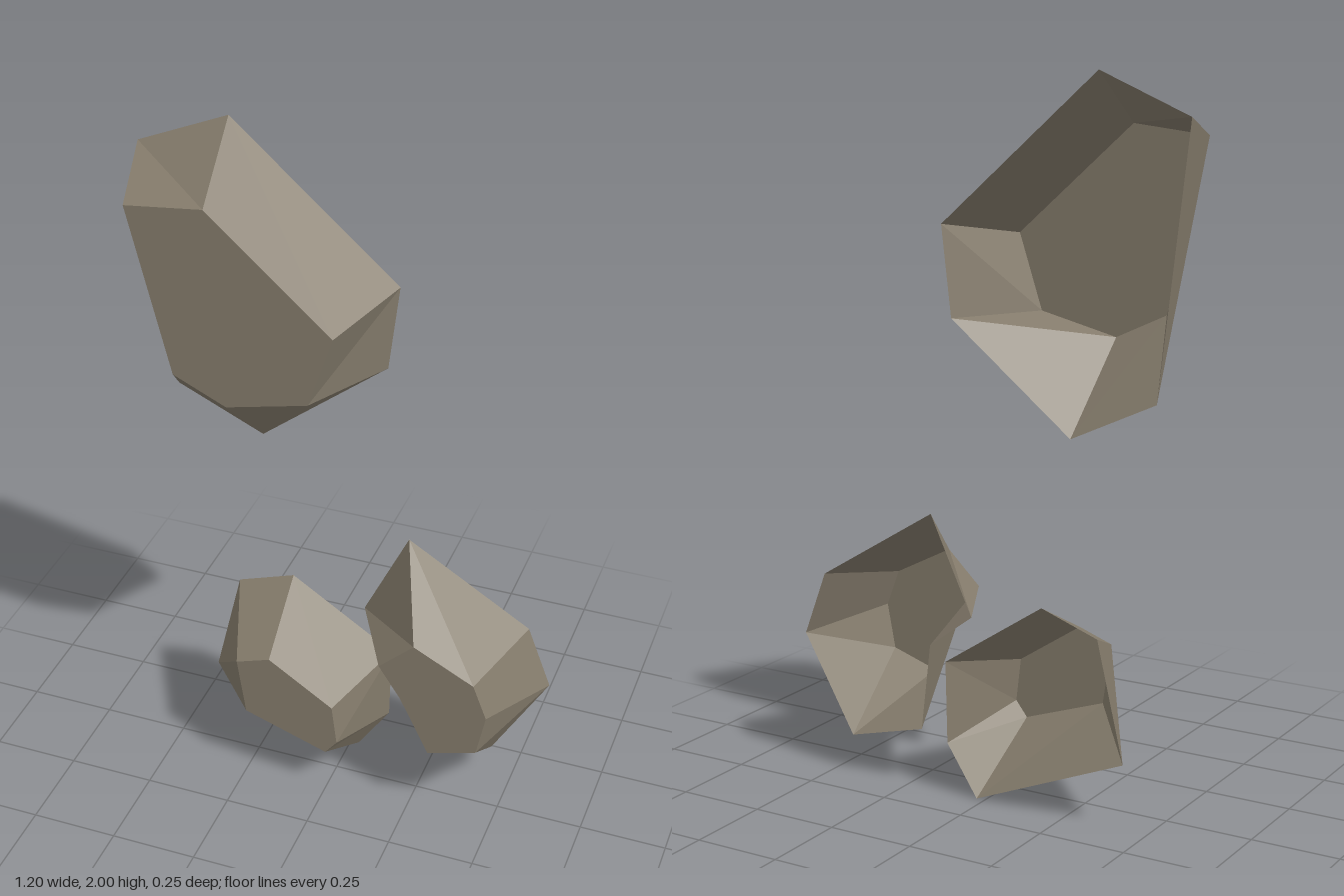
import * as THREE from 'three';

const BACK = -0.125, FRONT = 0.125;
const stone = new THREE.MeshStandardMaterial({
  color: 0x857c6c, roughness: 1, flatShading: true, side: THREE.DoubleSide,
});

// Outlines run clockwise seen from the front: wide rim at the back, small facet in front.
const stones = [
  {
    name: 'upperStone',
    rim: [[-0.6, 1.89], [-0.34, 2], [0.13, 1.59], [0.1, 1.34], [-0.265, 1.05], [-0.515, 1.165]],
    facet: [[-0.53, 1.83], [-0.31, 1.855], [0.035, 1.55], [-0.035, 1.34], [-0.265, 1.285], [-0.415, 1.355]],
  },
  {
    name: 'lowerRightStone',
    rim: [[-0.35, 0.52], [-0.18, 0.58], [0.125, 0.38], [0.12, 0.145], [0.025, 0], [-0.43, 0.185]],
    facet: [[-0.26, 0.425], [-0.16, 0.46], [0.03, 0.335], [0.045, 0.21], [0.01, 0.165], [-0.235, 0.25]],
  },
  {
    name: 'lowerLeftStone',
    rim: [[0.17, 0.795], [0.53, 0.575], [0.6, 0.39], [0.44, 0.11], [0.205, 0.17], [0.175, 0.42], [0.04, 0.52]],
    facet: [[0.27, 0.625], [0.445, 0.535], [0.485, 0.43], [0.46, 0.3], [0.32, 0.255], [0.235, 0.43], [0.17, 0.53]],
  },
];

// Sloping sides joining the rim to the facet
function slopeGeometry(rim, facet) {
  const positions = [];
  rim.forEach((r, i) => {
    const j = (i + 1) % rim.length;
    const a = [...r, BACK], b = [...facet[i], FRONT];
    const c = [...facet[j], FRONT], d = [...rim[j], BACK];
    positions.push(...a, ...b, ...c, ...a, ...c, ...d);
  });
  const geometry = new THREE.BufferGeometry();
  geometry.setAttribute('position', new THREE.Float32BufferAttribute(positions, 3));
  geometry.computeVertexNormals();
  return geometry;
}

// Flat front face
function facetGeometry(facet) {
  const shape = new THREE.Shape(facet.map(([x, y]) => new THREE.Vector2(x, y)));
  return new THREE.ShapeGeometry(shape).translate(0, 0, FRONT);
}

function addMesh(parent, name, geometry) {
  const mesh = new THREE.Mesh(geometry, stone);
  mesh.name = name;
  parent.add(mesh);
}

export function createModel() {
  const model = new THREE.Group();
  model.name = 'wallStones';
  // Each stone is a shell, open at the back
  for (const { name, rim, facet } of stones) {
    const group = new THREE.Group();
    group.name = name;
    addMesh(group, 'slopingSides', slopeGeometry(rim, facet));
    addMesh(group, 'frontFacet', facetGeometry(facet));
    model.add(group);
  }
  return model;
}
